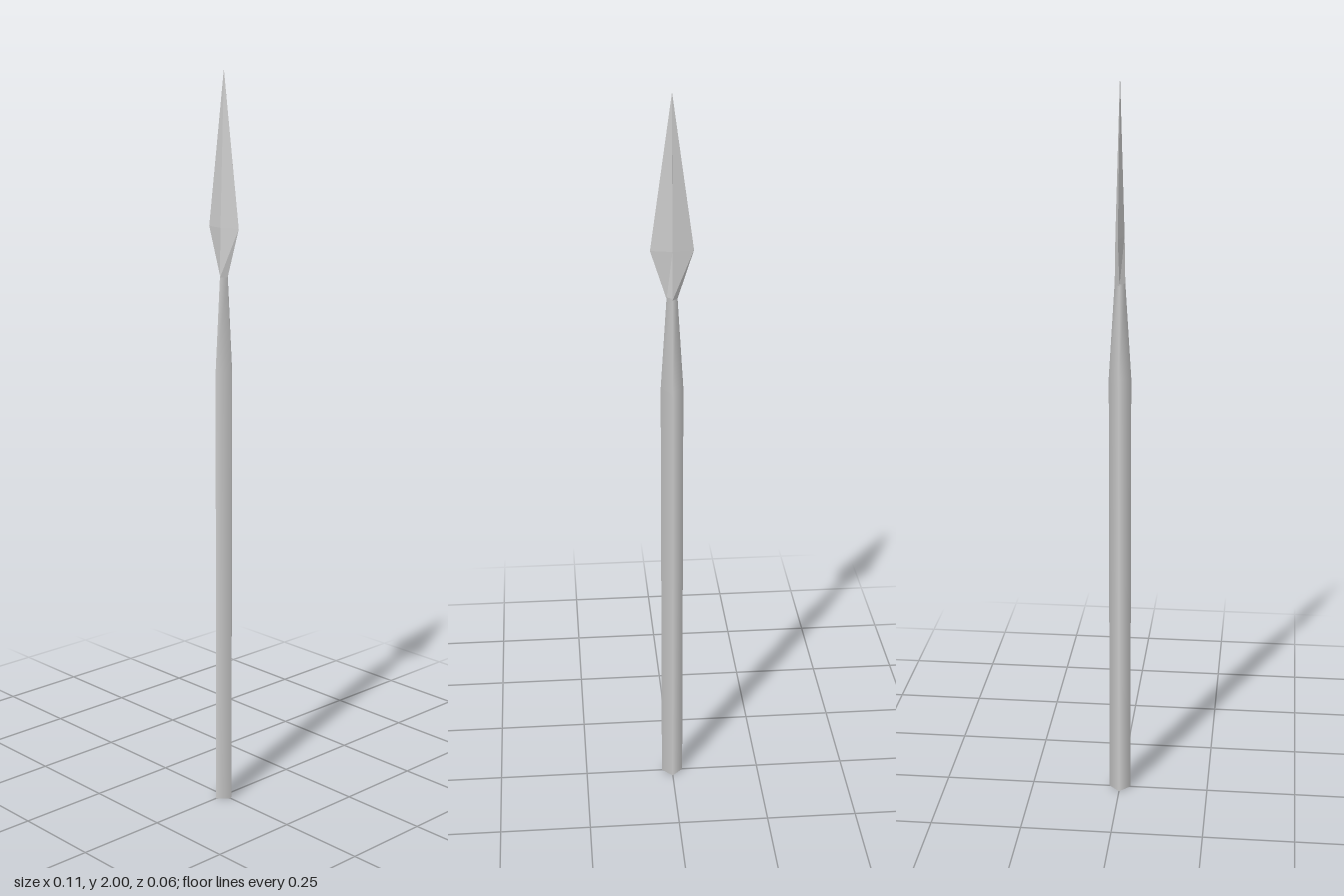
import * as THREE from 'three';

// Four-sided solid through rings [y, half width x, half depth z], listed top to bottom
function diamondLoft(rings, openEnded = false) {
  const steps = rings.length - 1;
  const geometry = new THREE.CylinderGeometry(1, 1, 1, 4, steps, openEnded);
  const p = geometry.attributes.position;
  for (let i = 0; i < p.count; i++) {
    const [y, rx, rz] = rings[Math.round((0.5 - p.getY(i)) * steps)];
    p.setXYZ(i, p.getX(i) * rx, y, p.getZ(i) * rz);
  }
  return geometry;
}

function addPart(group, name, geometry, flatShading) {
  const material = new THREE.MeshStandardMaterial({ color: 0xcccccc, flatShading });
  const mesh = new THREE.Mesh(geometry, material);
  mesh.name = name;
  group.add(mesh);
}

export function createModel() {
  const group = new THREE.Group();
  group.name = 'spear';

  // Square pole, corners on the axes, softly shaded
  addPart(group, 'shaft', diamondLoft([
    [1.22, 0.03, 0.03],
    [0, 0.03, 0.03],
  ]), false);

  // Tapered socket joining pole and blade
  addPart(group, 'socket', diamondLoft([
    [1.475, 0.014, 0.014],
    [1.22, 0.03, 0.03],
  ], true), false);

  // Flat leaf blade with a ridge front and back
  addPart(group, 'blade', diamondLoft([
    [2, 0.0003, 0.0003],
    [1.6, 0.056, 0.012],
    [1.47, 0.014, 0.014],
  ]), true);

  return group;
}
